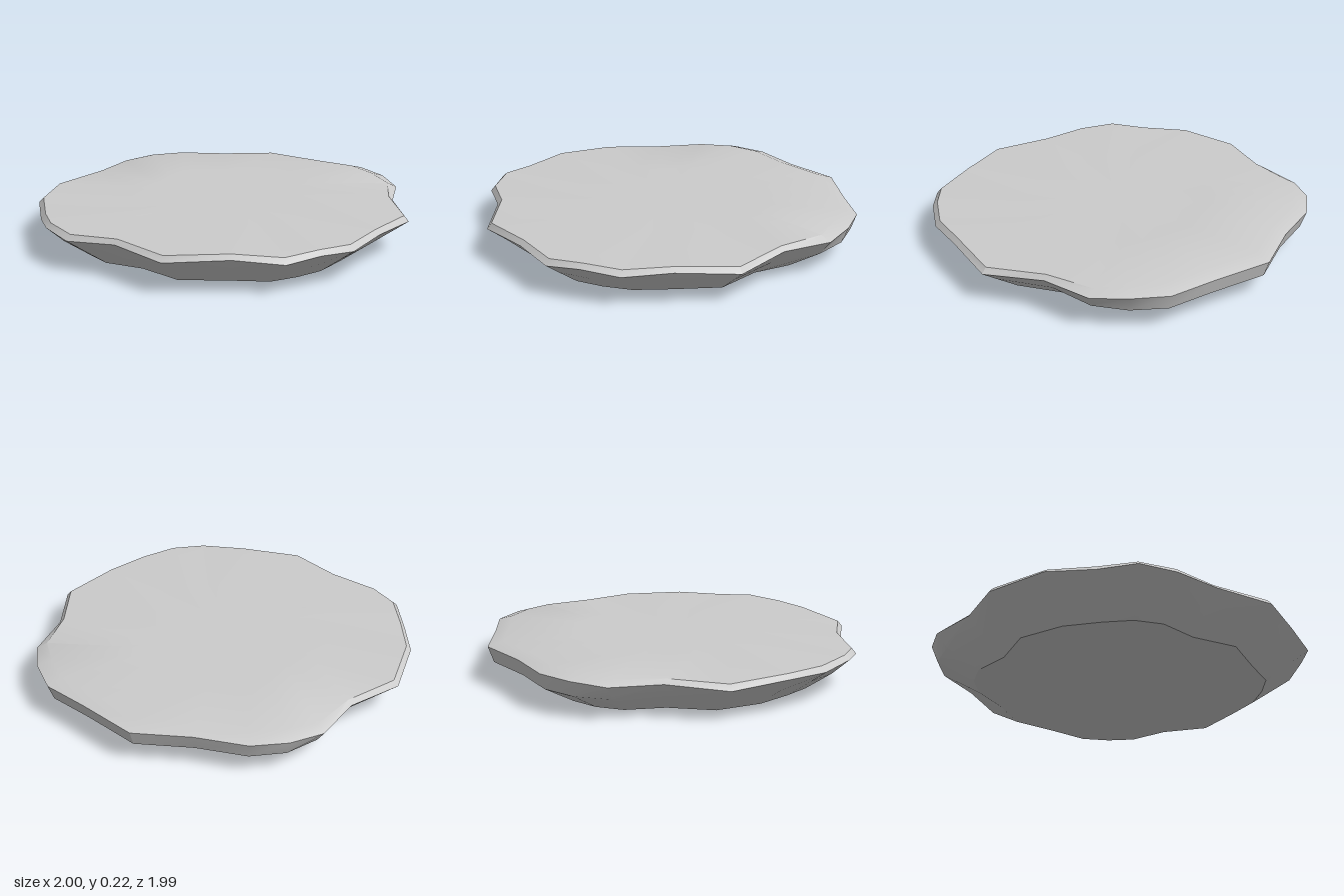
import * as THREE from 'three';
import { toCreasedNormals } from 'three/addons/utils/BufferGeometryUtils.js';

// Irregular rim seen from above, [x, z], from the back round by the +x side
const OUTLINE = [
  [0, -1], [0.32, -0.91], [0.57, -0.85], [0.72, -0.72], [0.83, -0.56], [0.86, -0.29],
  [1, 0], [0.91, 0.31], [0.83, 0.55], [0.71, 0.71], [0.57, 0.84], [0.32, 0.9],
  [0, 0.99], [-0.29, 0.86], [-0.56, 0.83], [-0.72, 0.72], [-0.83, 0.55], [-0.95, 0.32],
  [-1, 0], [-0.86, -0.29], [-0.83, -0.56], [-0.72, -0.72], [-0.56, -0.83], [-0.29, -0.89],
];

// Each ring is the outline scaled; at the back the edge is higher and more bevelled.
// [scale, y, extra scale at back, extra y at back, waviness]
const RINGS = [
  [0.77, 0, 0, 0, 0],
  [0.91, 0.1, 0.06, 0.01, 0],
  [1, 0.165, 0, 0.03, 0.018],
  [0.975, 0.195, -0.055, 0.025, 0.012],
  [0.5, 0.209, 0, 0.003, 0.002],
];

function slabGeometry() {
  const n = OUTLINE.length;
  const positions = [];
  const index = [];
  for (const [scale, y, backScale, backY, wave] of RINGS) {
    OUTLINE.forEach(([x, z], i) => {
      const back = THREE.MathUtils.smoothstep(-z, 0.3, 0.8);
      const s = scale + backScale * back;
      const lift = y > 0 ? backY * back + wave * (i % 2) * (1 - back) : 0;
      positions.push(x * s, y + lift, z * s);
    });
  }
  // Sides between neighbouring rings
  for (let r = 0; r < RINGS.length - 1; r++) {
    for (let i = 0; i < n; i++) {
      const a = r * n + i;
      const b = r * n + (i + 1) % n;
      index.push(a, a + n, b, b, a + n, b + n);
    }
  }
  // Flat underside and top
  const bottom = positions.length / 3;
  const top = bottom + 1;
  positions.push(0, 0, 0, 0, 0.21, 0);
  const last = (RINGS.length - 1) * n;
  for (let i = 0; i < n; i++) {
    const j = (i + 1) % n;
    index.push(bottom, i, j, top, last + j, last + i);
  }
  const geometry = new THREE.BufferGeometry();
  geometry.setAttribute('position', new THREE.Float32BufferAttribute(positions, 3));
  geometry.setIndex(index);
  return toCreasedNormals(geometry, 0.5);
}

export function createModel() {
  const group = new THREE.Group();
  group.name = 'steppingStone';
  const slab = new THREE.Mesh(slabGeometry(), new THREE.MeshStandardMaterial({ color: 0xcccccc }));
  slab.name = 'stoneSlab';
  group.add(slab);
  return group;
}
